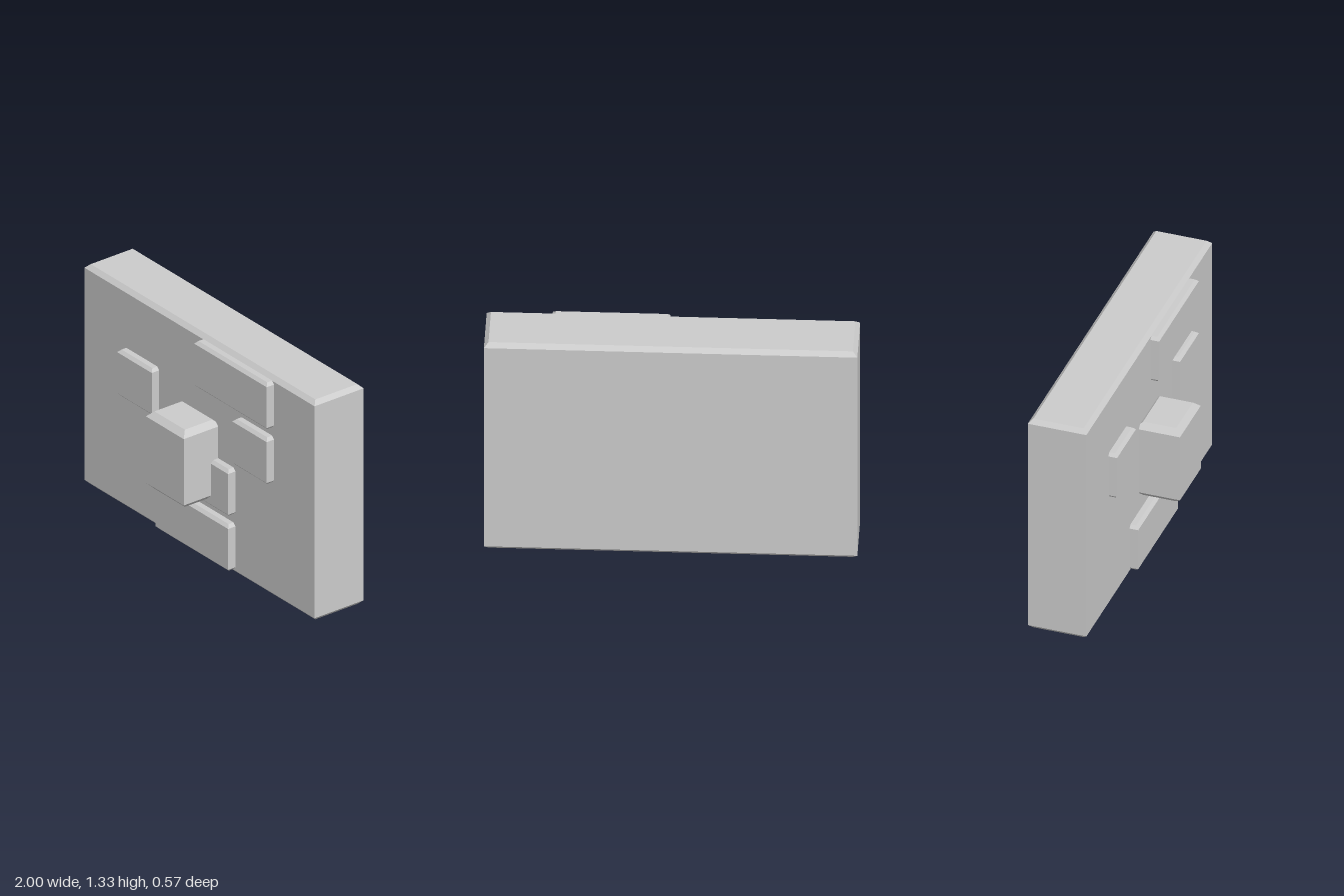
import * as THREE from 'three';

const material = new THREE.MeshStandardMaterial({ color: 0xcccccc, flatShading: true });

// Block given by its extents, with chamfered top and bottom rims and sharp upright edges
function chamferedBlock(name, [x0, x1], [y0, y1], [z0, z1], bevel) {
  const w = x1 - x0, h = y1 - y0, d = z1 - z0;
  const box = new THREE.BoxGeometry(w, h, d, 1, 3, 1);
  const p = box.attributes.position;
  for (let i = 0; i < p.count; i++) {
    const x = p.getX(i), y = p.getY(i), z = p.getZ(i);
    if (Math.abs(y) > h * 0.4) {
      // rim rows move inwards
      p.setX(i, x - Math.sign(x) * bevel);
      p.setZ(i, z - Math.sign(z) * bevel);
    } else {
      // inner rows slide out to the foot of the chamfer
      p.setY(i, Math.sign(y) * (h / 2 - bevel));
    }
  }
  const geometry = box.toNonIndexed();
  geometry.computeVertexNormals();
  const mesh = new THREE.Mesh(geometry, material);
  mesh.name = name;
  mesh.position.set((x0 + x1) / 2, (y0 + y1) / 2, (z0 + z1) / 2);
  return mesh;
}

export function createModel() {
  const model = new THREE.Group();
  model.name = 'studdedSlab';

  // Main slab
  model.add(chamferedBlock('slab', [-1, 1], [0, 1.333], [-0.283, 0.05], 0.024));

  // Projecting centre block
  model.add(chamferedBlock('centreBlock', [-0.167, 0.163], [0.4, 0.868], [0.03, 0.284], 0.033));

  // Thin raised plates on the front face
  const plates = [
    ['topPlate', [0.017, 0.648], [1.028, 1.31]],
    ['leftPlate', [0.349, 0.648], [0.695, 0.977]],
    ['rightPlate', [-0.652, -0.35], [0.695, 0.977]],
    ['lowerPlate', [0.017, 0.313], [0.362, 0.643]],
    ['bottomPlate', [-0.316, 0.313], [0.028, 0.31]],
  ];
  for (const [name, xs, ys] of plates) {
    model.add(chamferedBlock(name, xs, ys, [0.02, 0.1], 0.017));
  }
  return model;
}
